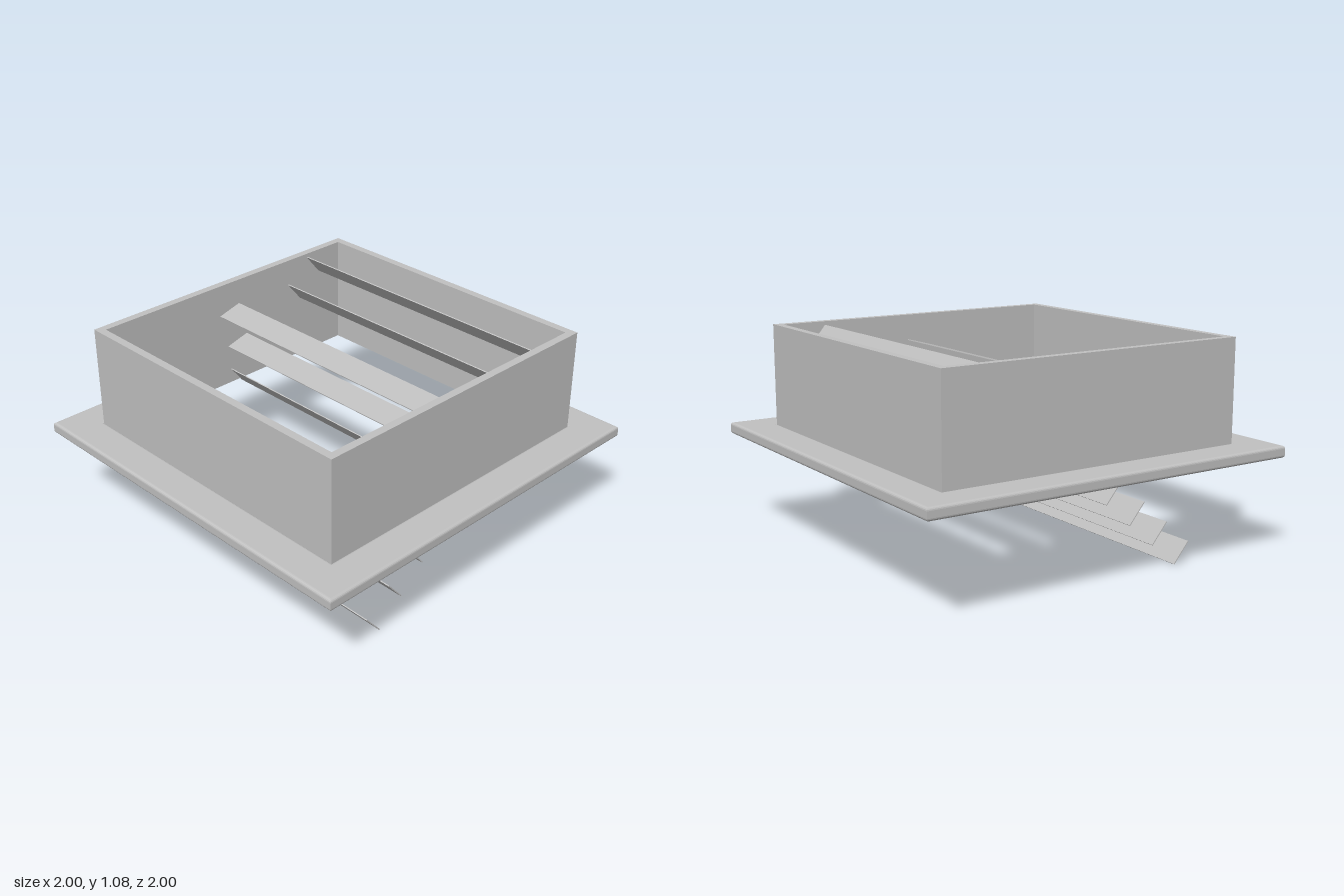
import * as THREE from 'three';

const steel = new THREE.MeshStandardMaterial({ color: 0xc0c0c0 });
steel.name = 'galvanisedGrey';

function square(half, PathType) {
  const p = new PathType();
  p.moveTo(-half, -half);
  p.lineTo(half, -half);
  p.lineTo(half, half);
  p.lineTo(-half, half);
  p.closePath();
  return p;
}

// Square ring lying flat, from y0 to y1, with an optional rounded edge
function squareRing(name, outer, inner, y0, y1, bevel) {
  const shape = square(outer - bevel, THREE.Shape);
  shape.holes.push(square(inner + bevel, THREE.Path));
  const geo = new THREE.ExtrudeGeometry(shape, {
    depth: y1 - y0 - 2 * bevel,
    bevelEnabled: bevel > 0,
    bevelSize: bevel,
    bevelThickness: bevel,
    bevelSegments: 4,
  });
  geo.rotateX(-Math.PI / 2);
  geo.translate(0, y0 + bevel, 0);
  const mesh = new THREE.Mesh(geo, steel);
  mesh.name = name;
  return mesh;
}

// Thin blade between a back edge and a front edge, given as z and y
function blade(name, zBack, yBack, zFront, yFront) {
  const dz = zFront - zBack, dy = yFront - yBack;
  const mesh = new THREE.Mesh(new THREE.BoxGeometry(1.6, 0.005, Math.hypot(dz, dy)), steel);
  mesh.position.set(0, (yBack + yFront) / 2, (zBack + zFront) / 2);
  mesh.rotation.x = -Math.atan2(dy, dz);
  mesh.name = name;
  return mesh;
}

export function createModel() {
  const model = new THREE.Group();
  model.name = 'louvredVent';

  // Flange and duct collar
  model.add(squareRing('flange', 1, 0.815, 0.5, 0.56, 0.014));
  model.add(squareRing('collar', 0.82, 0.78, 0.505, 1.08, 0));

  // Louvre blades stepping up towards the back; two are turned nearly flat
  const blades = new THREE.Group();
  blades.name = 'louvreBlades';
  for (let i = 0; i < 9; i++) {
    if (i === 5 || i === 6) continue;
    const z = 0.493 - 0.1405 * i, y = 0.002 + 0.1195 * i;
    blades.add(blade('blade' + (i + 1), z, y, z + 0.085, y + 0.102));
  }
  blades.add(blade('turnedBladeLower', -0.1, 0.755, 0.03, 0.72));
  blades.add(blade('turnedBladeUpper', -0.055, 0.945, 0.075, 0.91));
  model.add(blades);

  // Screw heads under the flange corners
  for (const x of [-0.913, 0.913]) {
    for (const z of [-0.913, 0.913]) {
      const screw = new THREE.Mesh(new THREE.CylinderGeometry(0.019, 0.015, 0.022, 16), steel);
      screw.position.set(x, 0.491, z);
      screw.name = 'screwHead';
      model.add(screw);
    }
  }
  return model;
}
